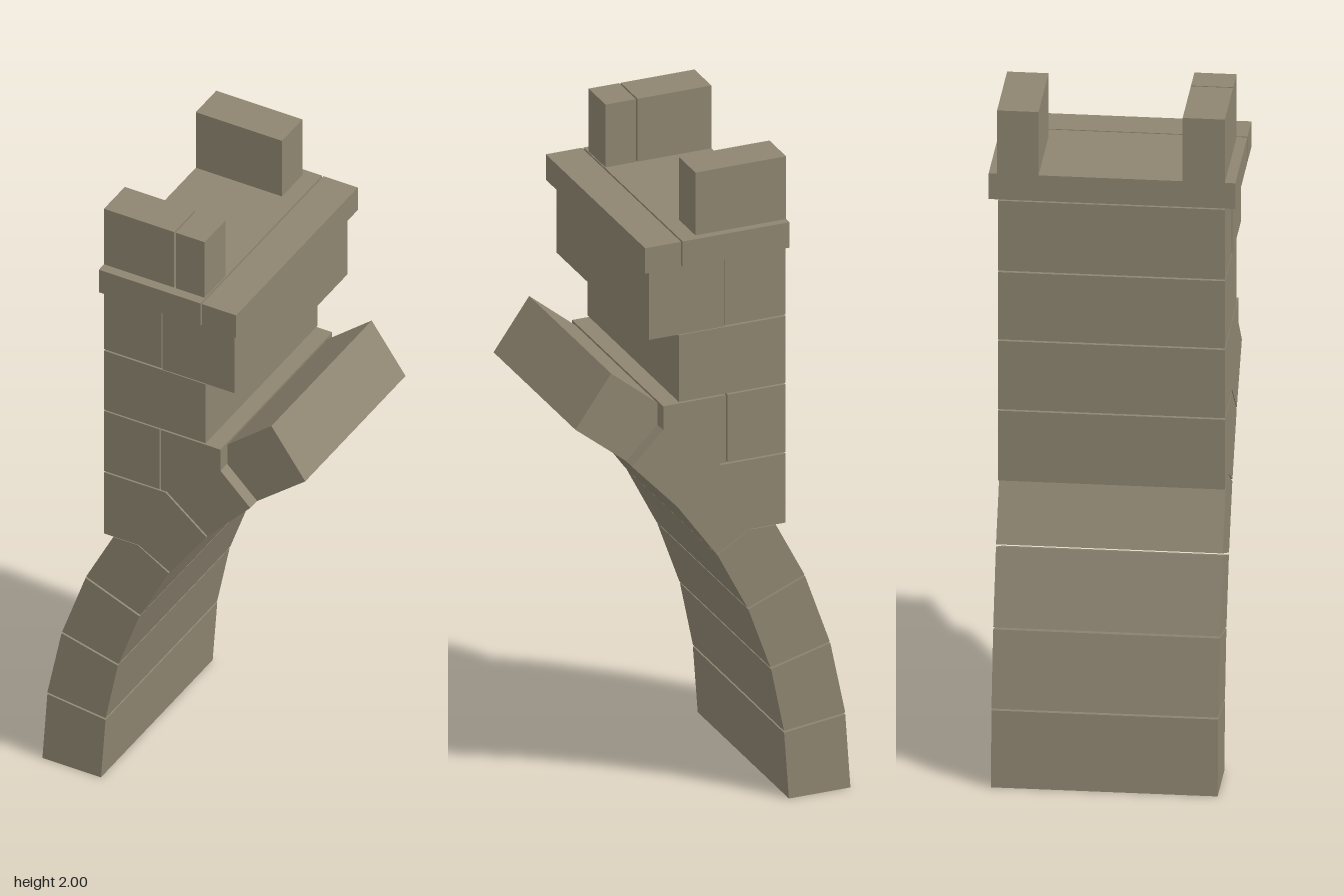
import * as THREE from 'three';

export function createModel() {
  const model = new THREE.Group();
  model.name = 'archButtress';
  const stone = new THREE.MeshStandardMaterial({ color: 0x8e8571 });
  stone.name = 'stone';

  // Stone with an outline in the xy plane, running from z0 to z1
  function slab(name, points, z0, z1, parent) {
    const shape = new THREE.Shape(points.map(([x, y]) => new THREE.Vector2(x, y)));
    const geometry = new THREE.ExtrudeGeometry(shape, { depth: z1 - z0, bevelEnabled: false });
    geometry.translate(0, 0, z0);
    const mesh = new THREE.Mesh(geometry, stone);
    mesh.name = name;
    parent.add(mesh);
  }

  // Square-cut stone given by its limits
  function block(name, x0, x1, y0, y1, z0, z1, parent) {
    const mesh = new THREE.Mesh(new THREE.BoxGeometry(x1 - x0, y1 - y0, z1 - z0), stone);
    mesh.position.set((x0 + x1) / 2, (y0 + y1) / 2, (z0 + z1) / 2);
    mesh.name = name;
    parent.add(mesh);
  }

  function section(name) {
    const group = new THREE.Group();
    group.name = name;
    model.add(group);
    return group;
  }

  // Curved leg and wedge stones of the half arch, separated by fine joints
  const arch = section('arch');
  [
    [[-0.42, 0], [-0.23, 0], [-0.215, 0.207], [-0.404, 0.23]],
    [[-0.404, 0.236], [-0.215, 0.213], [-0.175, 0.412], [-0.358, 0.46]],
    [[-0.356, 0.466], [-0.173, 0.418], [-0.105, 0.61], [-0.28, 0.682]],
    [[-0.278, 0.688], [-0.102, 0.616], [-0.01, 0.796], [-0.11, 0.858], [-0.19, 0.858]],
    [[-0.22, 0.86], [-0.108, 0.86], [-0.006, 0.801], [0.112, 0.966], [-0.02, 1.075], [-0.22, 1.075]],
    [[-0.035, 1.08], [-0.016, 1.08], [0.116, 0.971], [0.255, 1.12], [0.158, 1.216], [0.158, 1.29], [-0.035, 1.29]],
  ].forEach((points, i) => slab(`archStone${i + 1}`, points, -0.325, 0.32, arch));

  // Narrower tilted stone at the crown
  slab('crownStone', [[0.162, 1.22], [0.259, 1.125], [0.415, 1.25], [0.305, 1.405], [0.162, 1.288]], -0.292, 0.287, arch);

  // Wall courses above the arch
  const wall = section('wall');
  block('lowerCourse', -0.22, -0.04, 1.08, 1.29, -0.325, 0.32, wall);
  block('middleCourse', -0.22, 0.11, 1.295, 1.502, -0.325, 0.32, wall);
  block('upperCourseInner', -0.22, -0.033, 1.507, 1.722, -0.325, 0.32, wall);
  block('upperCourseOuter', -0.029, 0.205, 1.507, 1.722, -0.33, 0.323, wall);

  // Overhanging cap slabs
  const cap = section('cap');
  block('capInner', -0.22, 0.11, 1.726, 1.805, -0.352, 0.35, cap);
  block('capOuter', 0.115, 0.226, 1.726, 1.805, -0.352, 0.35, cap);

  // Merlons
  const merlons = section('merlons');
  block('frontMerlon', -0.22, 0.008, 1.805, 2, 0.2, 0.32, merlons);
  block('frontMerlonEnd', 0.013, 0.107, 1.805, 2, 0.2, 0.32, merlons);
  block('backMerlon', -0.22, 0.06, 1.805, 2, -0.328, -0.21, merlons);

  return model;
}
